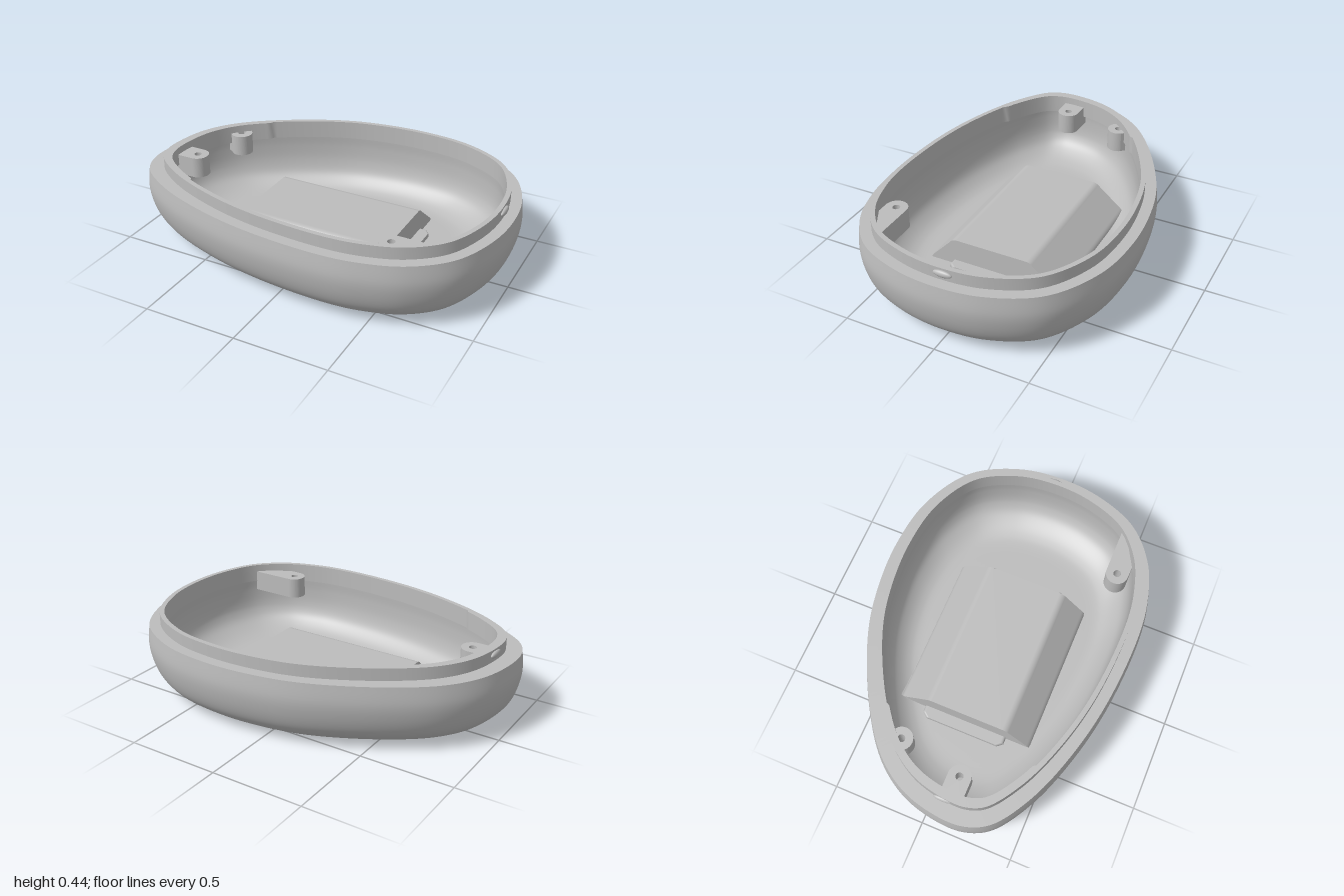
import * as THREE from 'three';

const COLUMNS = 240;
const MOUTH = { hx: 0.42, z0: -0.38, z1: 0.37 };       // battery opening underneath
const BAY_TOP = 0.19;

// Egg-shaped plan outline, as x, z pairs
const OUTLINE = [
  [-1, 0.11], [-0.95, -0.1], [-0.83, -0.28], [-0.61, -0.45], [-0.27, -0.62], [-0.03, -0.683],
  [0.27, -0.705], [0.57, -0.658], [0.832, -0.503], [0.966, -0.255], [1, 0], [0.968, 0.24],
  [0.872, 0.457], [0.695, 0.607], [0.48, 0.682], [0.27, 0.705], [-0.13, 0.68], [-0.45, 0.612],
  [-0.735, 0.505], [-0.932, 0.37], [-0.993, 0.25],
];

// Extra inset of the lip towards the narrow end, and the thicker wall there
const taper = (x) => 0.025 * Math.max(0, -x) ** 2;
const thicker = (x) => taper(x) + (x < -0.64 ? 0.01 : 0);
const none = () => 0;

export function createModel() {
  const model = new THREE.Group();
  const grey = new THREE.MeshStandardMaterial({ color: 0xbcbcbc, side: THREE.DoubleSide });
  grey.name = 'plastic grey';

  const add = (name, geometry) => {
    const mesh = new THREE.Mesh(geometry, grey);
    mesh.name = name;
    model.add(mesh);
    return mesh;
  };

  const curve = new THREE.CatmullRomCurve3(OUTLINE.map(([x, z]) => new THREE.Vector3(x, 0, z)), true);
  const edge = [];
  for (let j = 0; j < COLUMNS; j++) {
    const p = curve.getPointAt(j / COLUMNS);
    const t = curve.getTangentAt(j / COLUMNS);
    edge.push({ p, n: new THREE.Vector3(-t.z, 0, t.x) });
  }

  // Point on the outline moved inwards by d: a true offset first, then a scale to the centre
  const inset = ({ p, n }, d, y) => {
    const q = p.clone().addScaledVector(n, Math.min(d, 0.1));
    q.multiplyScalar(1 - Math.max(0, d - 0.1) / 0.6);
    q.y = y;
    return q;
  };

  // Skin over rings [inset, height, extra inset by x], listed outer to inner or top to bottom;
  // columns end where they meet the rectangular hole
  const loft = (rings, hole, flip = false) => {
    const inside = (q) => hole && Math.abs(q.x) < hole.hx && q.z > hole.z0 && q.z < hole.z1;
    const positions = [];
    const index = [];
    const stopped = [];
    let previous = [];
    rings.forEach(([d, y, extra = none], i) => {
      const ring = edge.map((e, j) => {
        if (stopped[j]) return previous[j];
        let q = inset(e, d + extra(e.p.x), y);
        if (inside(q)) {
          let a = previous[j].clone(), b = q;
          for (let k = 0; k < 14; k++) {
            const m = a.clone().lerp(b, 0.5);
            if (inside(m)) b = m; else a = m;
          }
          q = a;
          stopped[j] = true;
        }
        return q;
      });
      ring.forEach((q, j) => {
        positions.push(q.x, q.y, q.z);
        if (i === 0) return;
        const k = (j + 1) % COLUMNS;
        const a = (i - 1) * COLUMNS + j, b = (i - 1) * COLUMNS + k;
        const c = i * COLUMNS + j, e = i * COLUMNS + k;
        if (flip) index.push(a, c, b, b, c, e);
        else index.push(a, b, c, b, e, c);
      });
      previous = ring;
    });
    const g = new THREE.BufferGeometry();
    g.setAttribute('position', new THREE.Float32BufferAttribute(positions, 3));
    g.setIndex(index);
    g.computeVertexNormals();
    return g;
  };

  // Smooth profile through a few [inset, height] points
  const smooth = (points, floor) => new THREE.SplineCurve(points.map(([d, y]) => new THREE.Vector2(d, y)))
    .getPoints(54).map((v) => [v.x, Math.max(v.y, floor)]);

  // Rounded tray, inside and out
  add('outerShell', loft(smooth([
    [0.01, 0.375], [0, 0.28], [0.01, 0.2], [0.034, 0.127], [0.067, 0.076], [0.115, 0.035],
    [0.17, 0.01], [0.23, 0], [0.35, 0], [0.69, 0],
  ], 0), MOUTH));
  add('innerShell', loft(smooth([
    [0.093, 0.34], [0.09, 0.28], [0.095, 0.2], [0.115, 0.13], [0.15, 0.085], [0.2, 0.052],
    [0.26, 0.04], [0.4, 0.04], [0.69, 0.04],
  ], 0.04), MOUTH, true));

  // Stepped rim and the raised lip, thicker round the narrow end
  add('rimLedge', loft([[0.068, 0.375, taper], [0.01, 0.375]]));
  add('lipOuterWall', loft([[0.068, 0.44, taper], [0.068, 0.375, taper]]));
  add('lipTop', loft([[0.093, 0.44, thicker], [0.068, 0.44, taper]]));
  add('lipInnerWall', loft([[0.093, 0.34, thicker], [0.093, 0.44, thicker]]));
  add('lipUnderside', loft([[0.093, 0.34], [0.093, 0.34, thicker]]));

  // Snap bumps on the lip ends
  for (const [x, z] of [[0.935, -0.03], [-0.905, 0.1]]) {
    const bump = add('snapBump', new THREE.SphereGeometry(1, 24, 16));
    bump.scale.set(0.014, 0.018, 0.05);
    bump.position.set(x, 0.412, z);
  }

  // Sheet from z, y points at x0 to matching points at x1
  const strip = (points, x0, x1, ends = points) => {
    const g = new THREE.PlaneGeometry(1, 1, 1, points.length - 1);
    points.forEach((p, i) => {
      g.attributes.position.setXYZ(i * 2, x0, p.y, p.x);
      g.attributes.position.setXYZ(i * 2 + 1, x1, ends[i].y, ends[i].x);
    });
    g.computeVertexNormals();
    return g;
  };

  // Battery bay section: sloping sides with softened corners; foot is the height of its back edge
  const bayShape = (foot) => {
    const bay = new THREE.Shape();
    bay.moveTo(MOUTH.z0, foot);
    bay.lineTo(MOUTH.z0, 0.03);
    bay.quadraticCurveTo(MOUTH.z0, 0.05, -0.36, 0.065);
    bay.lineTo(-0.225, BAY_TOP - 0.015);
    bay.quadraticCurveTo(-0.21, BAY_TOP, -0.19, BAY_TOP);
    bay.lineTo(0.21, BAY_TOP);
    bay.quadraticCurveTo(0.235, BAY_TOP, 0.25, BAY_TOP - 0.02);
    bay.lineTo(0.35, 0.065);
    bay.quadraticCurveTo(MOUTH.z1, 0.045, MOUTH.z1, 0.025);
    bay.lineTo(MOUTH.z1, 0);
    return bay;
  };
  const bayRight = bayShape(0.022);                    // lifted where the tray curves up
  const bayLeft = bayShape(0);
  add('batteryBay', strip(bayRight.getPoints(8), -MOUTH.hx, MOUTH.hx, bayLeft.getPoints(8)));

  // Rounded slot in each bay end, with a chamfered pocket behind it
  const slotOutline = (path, w) => {
    const lo = 0.012, hi = 0.065, r = 0.018;
    path.moveTo(-w + r, lo);
    path.lineTo(w - r, lo);
    path.quadraticCurveTo(w, lo, w, lo + r);
    path.lineTo(w, hi - r);
    path.quadraticCurveTo(w, hi, w - r, hi);
    path.lineTo(-w + r, hi);
    path.quadraticCurveTo(-w, hi, -w, hi - r);
    path.lineTo(-w, lo + r);
    path.quadraticCurveTo(-w, lo, -w + r, lo);
    return path;
  };
  const slot = slotOutline(new THREE.Shape(), 0.235).getPoints(6);
  const slotEnd = slotOutline(new THREE.Shape(), 0.205);
  for (const [s, bay] of [[-1, bayRight], [1, bayLeft]]) {
    bay.holes.push(slotOutline(new THREE.Path(), 0.235));
    add('bayEndWall', new THREE.ShapeGeometry(bay, 8).rotateY(-Math.PI / 2)).position.x = s * MOUTH.hx;
    add('tabPocketWall', strip(slot, s * MOUTH.hx, s * 0.455));
    add('tabPocketChamfer', strip(slot, s * 0.455, s * 0.48, slotEnd.getPoints(6)));
    add('tabPocketEnd', new THREE.ShapeGeometry(slotEnd, 6).rotateY(-Math.PI / 2)).position.x = s * 0.48;
  }

  // Screw posts: a round nose with a screw hole, running back into the wall
  const post = (cx, cz, noseAngle, back) => {
    const r = 0.06;
    const shape = new THREE.Shape();
    shape.absarc(cx, cz, r, noseAngle - Math.PI / 2, noseAngle + Math.PI / 2, false);
    back.forEach(([x, z]) => shape.lineTo(x, z));
    shape.closePath();
    const hole = new THREE.Path();
    hole.absarc(cx, cz, 0.02, 0, Math.PI * 2, true);
    shape.holes.push(hole);
    const g = new THREE.ExtrudeGeometry(shape, { depth: 0.115, bevelEnabled: false, curveSegments: 20 });
    add('screwPost', g.rotateX(Math.PI / 2)).position.y = 0.4;
  };
  post(-0.77, 0.13, 0, [[-0.89, 0.19], [-0.89, 0.07]]);
  post(-0.705, -0.215, 0.92, [[-0.78, -0.195], [-0.725, -0.243], [-0.68, -0.272]]);
  post(0.555, 0.47, Math.PI, [[0.8, 0.41], [0.72, 0.475], [0.62, 0.53]]);

  return model;
}
